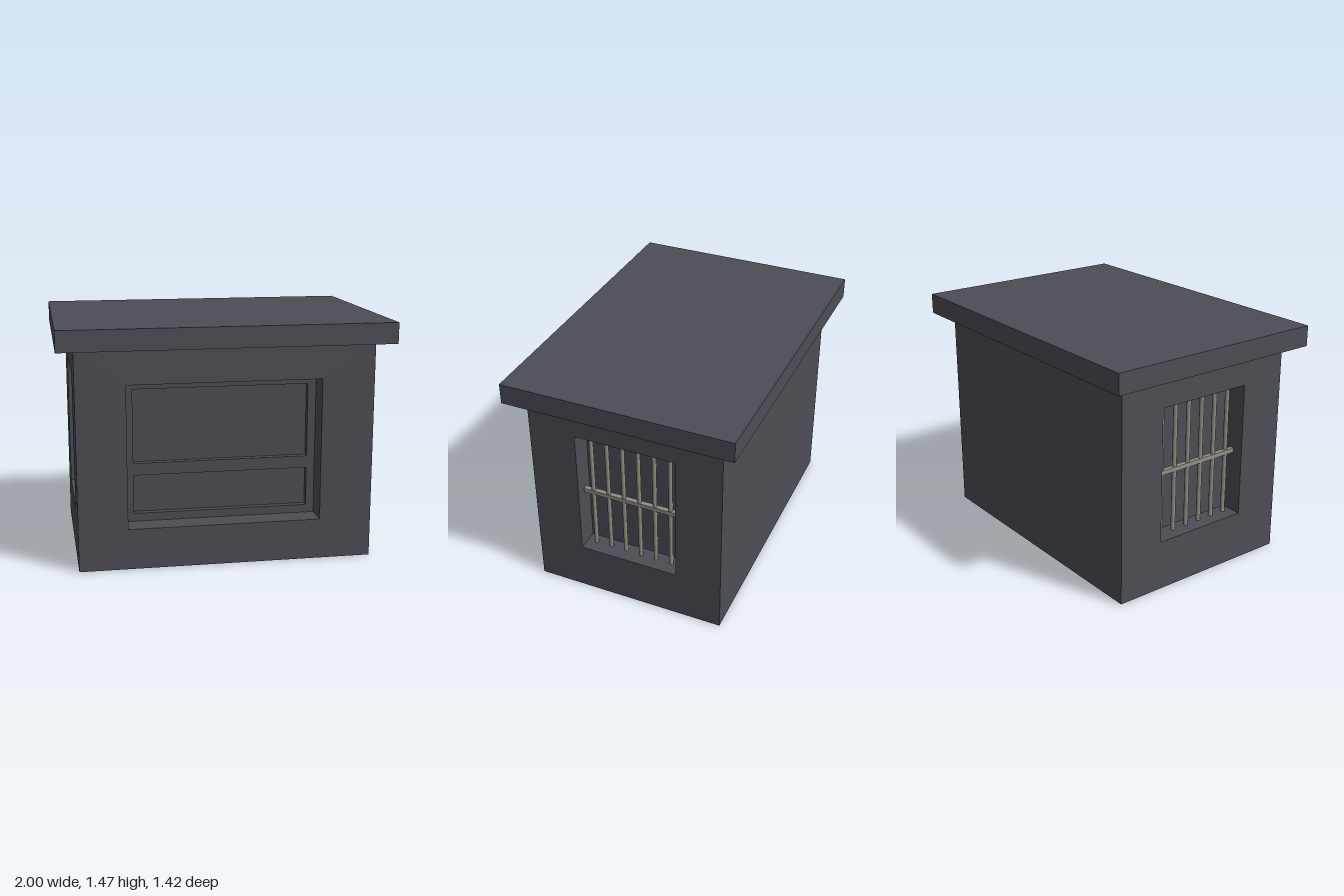
import * as THREE from 'three';

const wallMat = new THREE.MeshStandardMaterial({ color: 0x4d4d56, side: THREE.DoubleSide });
wallMat.name = 'dark grey plaster';
const metalMat = new THREE.MeshStandardMaterial({ color: 0x948f87 });
metalMat.name = 'bare metal';

const W = 1.795, D = 1.215, H = 1.34;

function add(parent, name, geometry, material, x = 0, y = 0, z = 0) {
  const mesh = new THREE.Mesh(geometry, material);
  mesh.name = name;
  mesh.position.set(x, y, z);
  parent.add(mesh);
  return mesh;
}

// Rectangle corners, counter-clockwise
const corners = ([x0, y0, x1, y1]) => [[x0, y0], [x1, y0], [x1, y1], [x0, y1]]
  .map(([x, y]) => new THREE.Vector2(x, y));

function rectShape(rect, holes = []) {
  const shape = new THREE.Shape(corners(rect));
  for (const hole of holes) shape.holes.push(new THREE.Path(corners(hole).reverse()));
  return shape;
}

// Four inward-facing faces lining an opening, running back from z = 0
function revealGeometry(rect, depth) {
  const c = corners(rect), pos = [];
  for (let i = 0; i < 4; i++) {
    const a = c[i], b = c[(i + 1) % 4];
    pos.push(a.x, a.y, 0, b.x, b.y, 0, b.x, b.y, -depth);
    pos.push(a.x, a.y, 0, b.x, b.y, -depth, a.x, a.y, -depth);
  }
  const g = new THREE.BufferGeometry();
  g.setAttribute('position', new THREE.Float32BufferAttribute(pos, 3));
  g.computeVertexNormals();
  return g;
}

// Thin wall facing +z, with an optional recessed opening
function makeWall(name, width, opening, depth) {
  const g = new THREE.Group();
  g.name = name;
  const shape = rectShape([-width / 2, 0, width / 2, H], opening ? [opening] : []);
  add(g, name + 'Face', new THREE.ShapeGeometry(shape), wallMat);
  if (opening) add(g, name + 'Reveal', revealGeometry(opening, depth), wallMat);
  return g;
}

// Side wall with a closed recess behind metal bars
function makeBarredWall(name, opening) {
  const depth = 0.14, barZ = -0.085;
  const g = makeWall(name, D, opening, depth);
  const [x0, y0, x1, y1] = opening;
  add(g, 'recessBack', new THREE.ShapeGeometry(rectShape(opening)), wallMat, 0, 0, -depth);
  const barGeo = new THREE.CylinderGeometry(0.0135, 0.0135, y1 - y0 + 0.05, 8);
  for (let i = 0; i < 6; i++) {
    add(g, 'windowBar', barGeo, metalMat, -0.252 + i * 0.101, (y0 + y1) / 2, barZ);
  }
  add(g, 'crossBar', new THREE.BoxGeometry(x1 - x0, 0.028, 0.03), metalMat,
    (x0 + x1) / 2, 0.71, barZ);
  return g;
}

export function createModel() {
  const model = new THREE.Group();
  model.name = 'barredHut';

  // Front wall with a two-pane window set back in its opening
  const opening = [-0.6, 0.25, 0.575, 1.125];
  const panes = [[-0.55, 0.3, 0.525, 0.54], [-0.55, 0.615, 0.525, 1.07]];
  const front = makeWall('frontWall', W, opening, 0.15);
  front.position.z = D / 2;
  const frameGeo = new THREE.ExtrudeGeometry(rectShape(opening, panes),
    { depth: 0.1, bevelEnabled: false });
  add(front, 'windowFrame', frameGeo, wallMat, 0, 0, -0.25);
  for (const pane of panes) {
    const [x0, y0, x1, y1] = pane;
    add(front, 'windowPane', new THREE.BoxGeometry(x1 - x0, y1 - y0, 0.01), wallMat,
      (x0 + x1) / 2, (y0 + y1) / 2, -0.195);
  }

  // Plain back wall
  const back = makeWall('backWall', W);
  back.position.z = -D / 2;
  back.rotation.y = Math.PI;

  // Barred side walls
  const left = makeBarredWall('leftWall', [-0.31, 0.31, 0.32, 1.15]);
  left.position.x = W / 2;
  left.rotation.y = Math.PI / 2;
  const right = makeBarredWall('rightWall', [-0.315, 0.31, 0.31, 1.15]);
  right.position.x = -W / 2;
  right.rotation.y = -Math.PI / 2;

  model.add(front, back, left, right);

  // Overhanging flat roof
  add(model, 'roof', new THREE.BoxGeometry(2, 0.127, 1.42), wallMat, 0, H + 0.0635, 0);
  return model;
}
